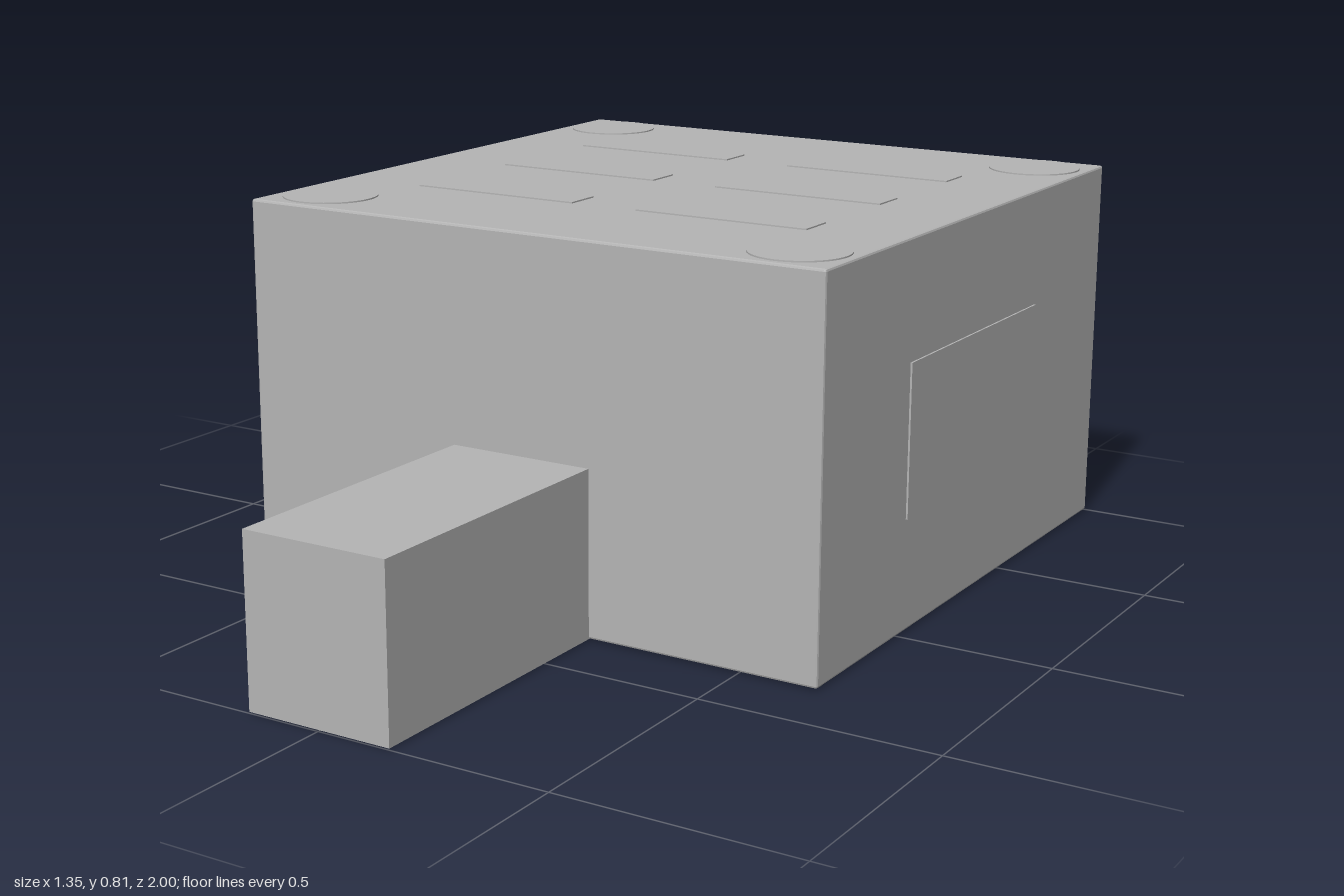
import * as THREE from 'three';
import { RoundedBoxGeometry } from 'three/addons/geometries/RoundedBoxGeometry.js';

export function createModel() {
  const group = new THREE.Group();
  const grey = new THREE.MeshStandardMaterial({ color: 0xb4b4b4 });
  grey.name = 'plain grey';

  const W = 1.342, BASE = 0.003, TOP = 0.81, ZC = -0.325;

  const add = (name, geometry, x, y, z) => {
    const mesh = new THREE.Mesh(geometry, grey);
    mesh.name = name;
    mesh.position.set(x, y, z);
    group.add(mesh);
  };
  const box = (name, w, h, d, x, y, z) =>
    add(name, new THREE.BoxGeometry(w, h, d), x, y, z);

  // Main body with a tiny chamfer on every edge
  const bodyGeometry = new RoundedBoxGeometry(W, TOP - BASE, W + 0.003, 1, 0.005);
  bodyGeometry.computeVertexNormals();
  add('body', bodyGeometry, 0, (TOP + BASE) / 2, ZC);

  // Entrance block standing out at the front
  box('entranceBlock', 0.322, 0.353, 0.66, 0, BASE + 0.353 / 2, 0.67);

  // Thin panel on the back
  box('backPanel', 0.37, 0.365, 0.006, 0, BASE + 0.365 / 2, -0.997);

  // Side panels, mirrored
  for (const s of [-1, 1]) box('sidePanel', 0.008, 0.32, 0.61, s * 0.671, 0.4, ZC);

  // Six low bars on the roof, in two columns
  for (const x of [-0.272, 0.272])
    for (const row of [-1, 0, 1])
      box('roofBar', 0.39, 0.006, 0.082, x, TOP, ZC + row * 0.322);

  // Round pads at the corners, above and below
  for (const sx of [-1, 1])
    for (const sz of [-1, 1]) {
      const disc = (r, h) => new THREE.CylinderGeometry(r, r, h, 48);
      add('roofPad', disc(0.1, 0.006), sx * 0.555, TOP, ZC + sz * 0.555);
      add('footPad', disc(0.1, 0.006), sx * 0.555, BASE, ZC + sz * 0.555);
      add('baseStud', disc(0.011, 0.004), sx * 0.07, BASE, ZC + sz * 0.065);
    }

  return group;
}
